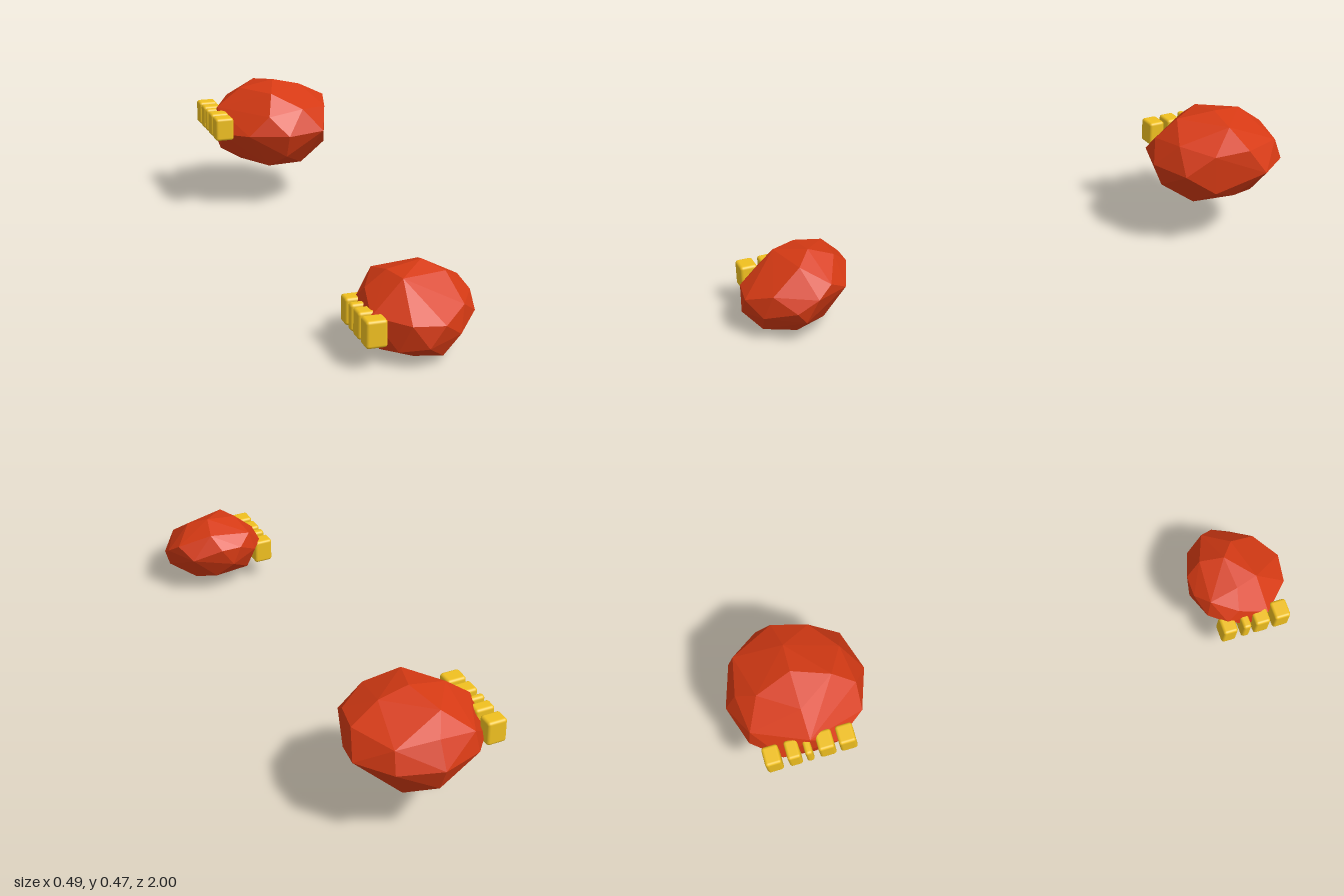
import * as THREE from 'three';
import { ConvexGeometry } from 'three/addons/geometries/ConvexGeometry.js';
import { RoundedBoxGeometry } from 'three/addons/geometries/RoundedBoxGeometry.js';

const rockMat = new THREE.MeshStandardMaterial({ color: 0xd63a14, flatShading: true });
const studMat = new THREE.MeshStandardMaterial({ color: 0xf0c020 });

// Faceted boulder: the hull of a few corner points
function rock(name, points) {
  const mesh = new THREE.Mesh(new ConvexGeometry(points.map(p => new THREE.Vector3(...p))), rockMat);
  mesh.name = name;
  return mesh;
}

// Row of plain rounded studs along z; spans are [zMin, zMax]
function studRow(name, x, y, height, spans) {
  const row = new THREE.Group();
  row.name = name;
  spans.forEach(([z0, z1]) => {
    const stud = new THREE.Mesh(new RoundedBoxGeometry(0.068, height, z1 - z0, 3, 0.01), studMat);
    stud.name = 'stud';
    stud.position.set(x, y, (z0 + z1) / 2);
    row.add(stud);
  });
  return row;
}

export function createModel() {
  const model = new THREE.Group();
  model.name = 'twoRocks';

  model.add(rock('largeRock', [
    // crown
    [0.014, 0.465, -0.757], [-0.115, 0.441, -0.757], [-0.027, 0.441, -0.63],
    [-0.027, 0.441, -0.885], [0.118, 0.44, -0.757],
    // shoulders
    [0.08, 0.386, -0.58], [-0.054, 0.371, -0.56], [0.22, 0.386, -0.78], [0.19, 0.371, -0.66],
    [-0.204, 0.373, -0.757], [0.01, 0.39, -0.955], [0.15, 0.375, -0.93], [-0.12, 0.37, -0.94],
    // waist
    [0.012, 0.3, -0.52], [-0.13, 0.3, -0.566], [0.157, 0.3, -0.566], [0.157, 0.3, -0.955],
    [-0.13, 0.3, -0.955], [0.01, 0.3, -1], [0.243, 0.3, -0.84],
    [-0.208, 0.29, -0.67], [-0.208, 0.29, -0.86],
    // underside
    [-0.193, 0.212, -0.757], [0.17, 0.2, -0.757], [0.19, 0.23, -0.67],
    [0.01, 0.215, -0.555], [0.01, 0.215, -0.965],
    [-0.04, 0.165, -0.625], [-0.04, 0.165, -0.885], [0.09, 0.165, -0.64],
    [0.09, 0.165, -0.88], [-0.115, 0.165, -0.757],
  ]));

  model.add(rock('smallRock', [
    // crown
    [0.04, 0.273, 0.78], [-0.075, 0.255, 0.79], [0.06, 0.246, 0.7], [-0.09, 0.23, 0.69],
    [0.1, 0.245, 0.83], [-0.05, 0.25, 0.87], [-0.14, 0.2, 0.78],
    // front slope
    [-0.06, 0.141, 0.985], [0.04, 0.138, 1], [0.123, 0.171, 0.93], [-0.157, 0.15, 0.89],
    [-0.01, 0.07, 1], [0.103, 0.09, 0.96], [0.05, 0.023, 0.95], [-0.09, 0.05, 0.95],
    // sides
    [0.193, 0.164, 0.8], [0.182, 0.123, 0.87], [0.17, 0.2, 0.75], [0.175, 0.082, 0.84],
    [0.135, 0.16, 0.69], [-0.165, 0.11, 0.82], [-0.155, 0.16, 0.74],
    // back
    [-0.01, 0.134, 0.65], [0.035, 0.2, 0.65], [-0.04, 0.2, 0.65], [-0.11, 0.16, 0.68],
    [0.04, 0.07, 0.7], [-0.09, 0.075, 0.71],
    // underside
    [-0.018, 0, 0.875], [-0.123, 0.034, 0.87], [0.095, 0.018, 0.85],
    [-0.02, 0.03, 0.78], [0.1, 0.05, 0.76],
  ]));

  model.add(studRow('largeRockStuds', -0.211, 0.322, 0.085,
    [[-0.92, -0.865], [-0.845, -0.8], [-0.785, -0.76], [-0.74, -0.685], [-0.67, -0.612]]));
  model.add(studRow('smallRockStuds', -0.161, 0.119, 0.088,
    [[0.712, 0.765], [0.785, 0.815], [0.83, 0.885], [0.902, 0.96]]));

  return model;
}
